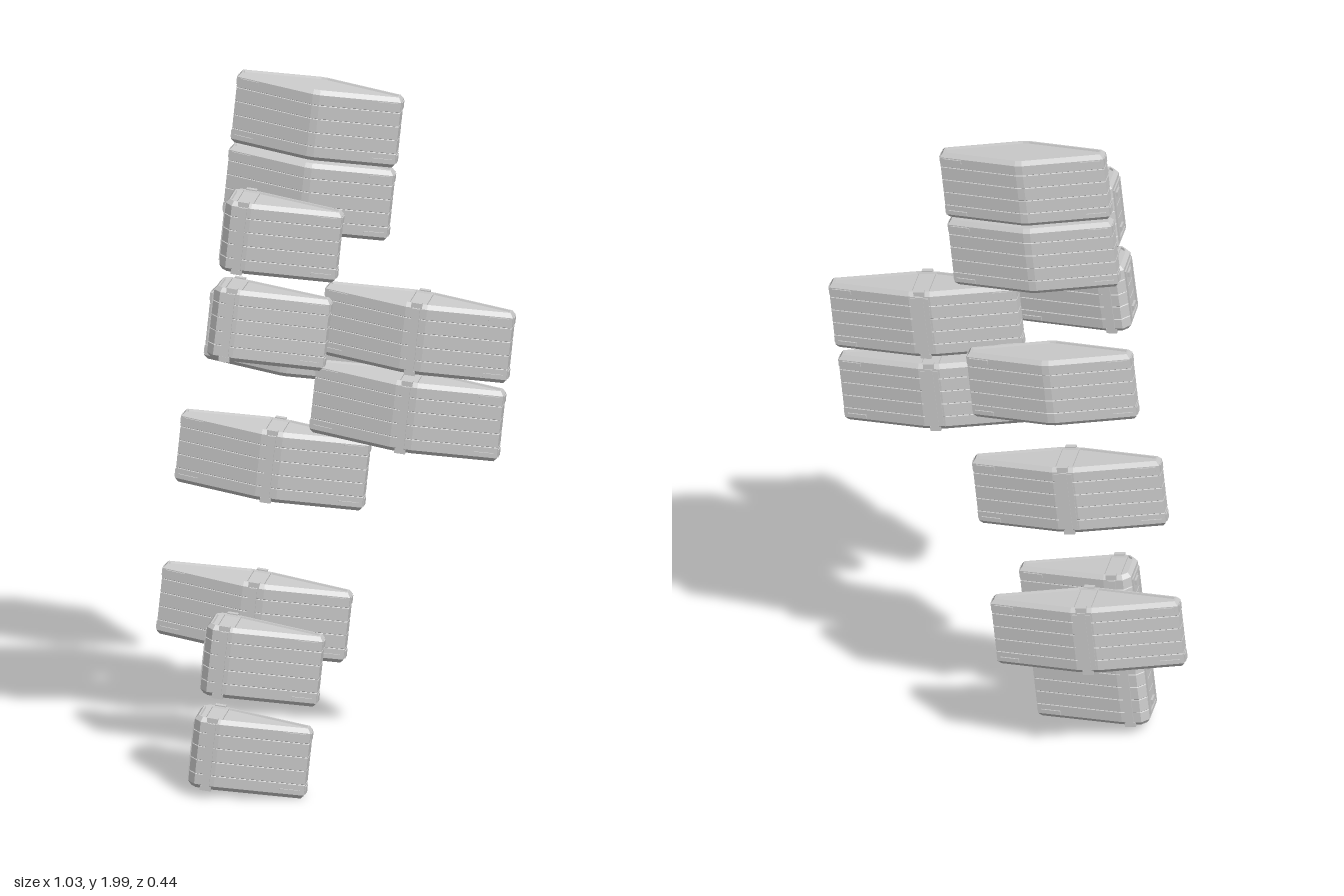
import * as THREE from 'three';

const H = 0.1025, W = 0.064, E = 0.02; // half height, half depth, half depth at the tips
const TILT = -0.103;
const mat = new THREE.MeshStandardMaterial({ color: 0xcccccc, flatShading: true });

// Move every edge of a convex outline inwards by t
function inset(pts, t) {
  const n = pts.length;
  const edges = pts.map((p, i) => {
    const q = pts[(i + 1) % n], dx = q[0] - p[0], dz = q[1] - p[1], l = Math.hypot(dx, dz);
    return { x: p[0] - dz / l * t, z: p[1] + dx / l * t, dx, dz };
  });
  return edges.map((b, i) => {
    const a = edges[(i + n - 1) % n];
    const s = ((b.x - a.x) * b.dz - (b.z - a.z) * b.dx) / (a.dx * b.dz - a.dz * b.dx);
    return [a.x + a.dx * s, a.z + a.dz * s];
  });
}

// Stack inset copies of the outline: [height, inset] per ring
function loft(outline, rings) {
  const n = outline.length, pos = [];
  const R = rings.map(([y, t]) => inset(outline, t).map(p => [p[0], y, p[1]]));
  const tri = (a, b, c) => pos.push(...a, ...b, ...c);
  for (let r = 0; r < R.length - 1; r++) {
    for (let i = 0; i < n; i++) {
      const j = (i + 1) % n, a = R[r], b = R[r + 1];
      tri(a[i], b[i], a[j]);
      tri(a[j], b[i], b[j]);
    }
  }
  const lo = R[0], hi = R[R.length - 1];
  for (let i = 1; i < n - 1; i++) {
    tri(lo[0], lo[i], lo[i + 1]);
    tri(hi[0], hi[i + 1], hi[i]);
  }
  const g = new THREE.BufferGeometry();
  g.setAttribute('position', new THREE.Float32BufferAttribute(pos, 3));
  g.computeVertexNormals();
  return g;
}

// Bevelled body with recessed lids and plank grooves
function bodyRings() {
  const rings = [[-H + 0.005, 0.015], [-H, 0.013], [-H, 0.009], [-H + 0.012, 0]];
  for (const y of [-0.06, -0.02, 0.02, 0.06]) {
    rings.push([y - 0.0015, 0], [y, 0.002], [y + 0.0015, 0]);
  }
  rings.push([H - 0.012, 0], [H, 0.009], [H, 0.013], [H - 0.005, 0.015]);
  return rings;
}

function add(group, name, geo, x = 0, y = 0, z = 0, ry = 0) {
  const m = new THREE.Mesh(geo, mat);
  m.name = name;
  m.position.set(x, y, z);
  m.rotation.y = ry;
  group.add(m);
  return m;
}
const box = (w, h, d) => new THREE.BoxGeometry(w, h, d);

// Latches around a tapered tip: from shoulder x0 to tip x1
function tipLatches(g, x0, x1) {
  const dir = Math.sign(x1 - x0);
  for (const sy of [-1, 1]) {
    add(g, 'tipCap', box(0.008, 0.022, 0.026), x1 - dir * 0.001, sy * 0.078, 0);
    for (const sz of [-1, 1]) {
      const t = 0.84;
      add(g, 'latch', box(0.055, 0.012, 0.007), x0 + (x1 - x0) * t, sy * 0.082,
        sz * (W + (E - W) * t), Math.atan2(-sz * (E - W), x1 - x0));
    }
  }
}

// Middle strap: raised bars, rim tabs and lid ribs
function strap(g, x, half) {
  for (const s of [-1, 1]) {
    add(g, 'strapBar', box(0.022, 0.18, 0.01), x, 0, s * W);
    for (const sy of [-1, 1]) {
      add(g, 'strapTab', box(0.03, 0.014, 0.014), x, sy * (H - 0.004), s * (W - 0.006));
      add(g, 'lidRib', box(0.004, 0.006, 2 * W - 0.026), x + s * half, sy * (H - 0.004), 0);
    }
  }
}

// Double-tapered crate, f is half the flat middle
function fullCrate(f, L, strapped) {
  const g = new THREE.Group();
  g.name = strapped ? 'strappedCrate' : 'diamondCrate';
  const outline = [[L, -E], [L, E], [f, W], [-f, W], [-L, E], [-L, -E], [-f, -W], [f, -W]];
  add(g, 'crateBody', loft(outline, bodyRings()));
  tipLatches(g, f, L);
  tipLatches(g, -f, -L);
  if (strapped) {
    strap(g, 0, 0.024);
    add(g, 'backPanel', box(0.05, 0.17, 0.006), 0, 0, -W);
  }
  return g;
}

// Single-tapered crate with a blunt framed end
function halfCrate() {
  const g = new THREE.Group();
  g.name = 'halfCrate';
  const L = 0.16, s = -0.085, c = -0.14;
  const outline = [[L, -E], [L, E], [s, W], [c, W], [-L, 0.045], [-L, -0.045], [c, -W], [s, -W]];
  add(g, 'crateBody', loft(outline, bodyRings()));
  tipLatches(g, s, L);
  strap(g, -0.108, 0.023);
  // Frame and latches on the blunt end
  for (const k of [-1, 1]) {
    add(g, 'endFrameSide', box(0.008, 0.16, 0.008), -L, 0, k * 0.036);
    add(g, 'endFrameRail', box(0.008, 0.008, 0.072), -L, k * 0.076, 0);
    add(g, 'endLatch', box(0.012, 0.014, 0.03), -L, k * 0.055, 0);
  }
  return g;
}

export function createModel() {
  const model = new THREE.Group();
  model.name = 'floatingCrates';
  const makers = {
    diamond: () => fullCrate(0.01, 0.23, false),
    strapped: () => fullCrate(0.03, 0.263, true),
    half: halfCrate,
  };
  // kind, x, y, z, lean about x
  const layout = [
    ['diamond', -0.07, 1.873, -0.153, 0],
    ['diamond', -0.093, 1.66, -0.153, 0],
    ['diamond', -0.145, 1.243, -0.153, 0],
    ['strapped', 0.24, 1.326, 0.005, 0],
    ['strapped', 0.213, 1.098, 0.005, 0],
    ['strapped', -0.188, 0.889, -0.122, 0],
    ['strapped', -0.24, 0.446, -0.122, 0],
    ['half', -0.11, 1.623, 0.145, 0],
    ['half', -0.142, 1.369, 0.152, -0.05],
    ['half', -0.164, 0.391, 0.139, 0],
    ['half', -0.198, 0.123, 0.139, 0],
  ];
  for (const [kind, x, y, z, lean] of layout) {
    const crate = makers[kind]();
    crate.position.set(x, y, z);
    crate.rotation.set(lean, 0, TILT);
    model.add(crate);
  }
  return model;
}
